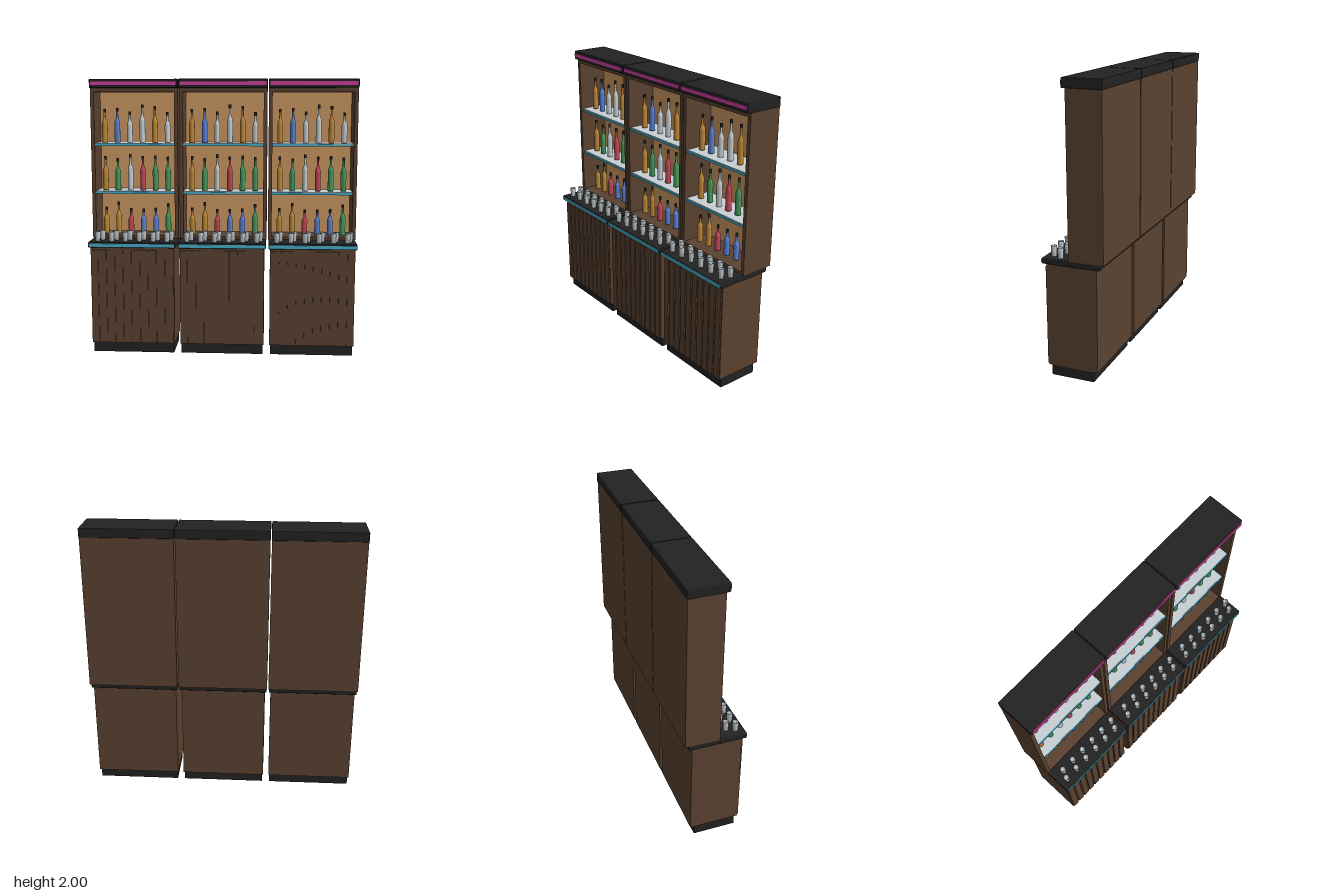
import * as THREE from 'three';
import { RoundedBoxGeometry } from 'three/addons/geometries/RoundedBoxGeometry.js';

const mat = (name, color, side = THREE.FrontSide) => {
  const m = new THREE.MeshStandardMaterial({ color, side });
  m.name = name;
  return m;
};

export function createModel() {
  const M = {
    wood: mat('dark wood', 0x5a4230),
    panel: mat('light back panel', 0xcf9a62),
    black: mat('black', 0x222222),
    pink: mat('pink light strip', 0xd040a0),
    teal: mat('teal light strip', 0x48b0cc),
    glass: mat('clear glass', 0xc8d0d4),
    amber: mat('amber glass', 0xc08a38),
    blue: mat('blue glass', 0x5a82d6),
    red: mat('red glass', 0xc44a58),
    green: mat('green glass', 0x489a5c),
  };
  const add = (parent, name, geo, material, x = 0, y = 0, z = 0) => {
    const mesh = new THREE.Mesh(geo, material);
    mesh.name = name;
    mesh.position.set(x, y, z);
    parent.add(mesh);
    return mesh;
  };
  // Box given by its limits on each axis; a radius rounds the edges
  const box = (parent, name, material, [x0, x1], [y0, y1], [z0, z1], r = 0) => {
    const s = [x1 - x0, y1 - y0, z1 - z0];
    const geo = r ? new RoundedBoxGeometry(...s, 2, r) : new THREE.BoxGeometry(...s);
    return add(parent, name, geo, material, (x0 + x1) / 2, (y0 + y1) / 2, (z0 + z1) / 2);
  };
  const lathe = (points, sides) =>
    new THREE.LatheGeometry(points.map(([r, y]) => new THREE.Vector2(r, y)), sides);

  // Bottle with straight body, sloping shoulder, neck and stopper
  const bottle = (parent, color, h, x, y, z) => {
    const g = new THREE.Group();
    g.name = 'bottle';
    g.position.set(x, y, z);
    const r = 0.021;
    add(g, 'bottleGlass', lathe([
      [0, 0], [r, 0], [r, 0.004], [r, h * 0.56], [r * 0.9, h * 0.62],
      [r * 0.55, h * 0.69], [0.0085, h * 0.74], [0.0075, h - 0.022],
    ], 14), M[color]);
    add(g, 'stopper', new THREE.CylinderGeometry(0.0095, 0.0095, 0.026, 12), M.black, 0, h - 0.013, 0);
    parent.add(g);
  };

  const rows = [
    { y: 0.85, colors: ['amber', 'amber', 'red', 'blue', 'blue', 'green'], heights: [0.2, 0.24, 0.19, 0.19, 0.195, 0.23] },
    { y: 1.18, colors: ['amber', 'green', 'glass', 'red', 'green', 'green'], heights: [0.255, 0.24, 0.27, 0.255, 0.26, 0.25] },
    { y: 1.535, colors: ['amber', 'blue', 'glass', 'glass', 'amber', 'glass'], heights: [0.25, 0.255, 0.23, 0.28, 0.27, 0.225] },
  ];
  // Hollow, slightly flared tumbler
  const tumbler = lathe([[0, 0], [0.017, 0], [0.021, 0.07], [0.018, 0.07], [0.015, 0.01], [0, 0.01]], 12);

  const buildUnit = () => {
    const unit = new THREE.Group();
    unit.name = 'barUnit';

    // Base cabinet with slatted front
    box(unit, 'plinth', M.black, [-0.298, 0.298], [0, 0.075], [-0.135, 0.17]);
    box(unit, 'baseCabinet', M.wood, [-0.305, 0.305], [0.075, 0.79], [-0.165, 0.19]);
    const slats = 10, pitch = 0.061;
    for (let i = 0; i < slats; i++) {
      const x = (i - (slats - 1) / 2) * pitch;
      box(unit, 'slat', M.wood, [x - 0.024, x + 0.024], [0.08, 0.77], [0.19, 0.2]);
    }

    // Counter and its light strip
    box(unit, 'counter', M.black, [-0.317, 0.317], [0.79, 0.83], [-0.19, 0.219], 0.006);
    box(unit, 'counterLight', M.teal, [-0.31, 0.31], [0.796, 0.82], [0.216, 0.225]);

    // Open upper cabinet
    for (const s of [-1, 1]) {
      const x = [0.294 * s, 0.321 * s].sort((a, b) => a - b);
      box(unit, 'sidePanel', M.wood, x, [0.83, 1.935], [-0.22, 0.025]);
    }
    box(unit, 'cabinetBack', M.wood, [-0.294, 0.294], [0.83, 1.935], [-0.22, -0.205]);
    box(unit, 'backPanel', M.panel, [-0.294, 0.294], [0.85, 1.905], [-0.205, -0.198]);
    box(unit, 'cabinetTop', M.wood, [-0.294, 0.294], [1.905, 1.935], [-0.205, 0.025]);
    box(unit, 'cabinetFloor', M.wood, [-0.294, 0.294], [0.83, 0.85], [-0.205, 0.025]);

    // Crown and its light strip
    box(unit, 'crown', M.black, [-0.323, 0.323], [1.935, 2], [-0.225, 0.052], 0.006);
    box(unit, 'crownLight', M.pink, [-0.312, 0.312], [1.955, 1.981], [0.05, 0.058]);

    // Glass shelves with lit front edges
    for (const y of [1.18, 1.535]) {
      box(unit, 'shelf', M.glass, [-0.294, 0.294], [y - 0.018, y], [-0.198, 0.008]);
      box(unit, 'shelfLight', M.teal, [-0.294, 0.294], [y - 0.02, y - 0.004], [0.008, 0.014]);
    }

    // Bottles
    for (const { y, colors, heights } of rows)
      colors.forEach((c, i) => bottle(unit, c, heights[i], -0.237 + i * 0.094, y, -0.075));

    // Two staggered rows of tumblers
    for (let i = 0; i < 6; i++) {
      add(unit, 'tumbler', tumbler, M.glass, -0.257 + i * 0.1015, 0.83, 0.16);
      add(unit, 'tumbler', tumbler, M.glass, -0.232 + i * 0.1015, 0.83, 0.1);
    }
    return unit;
  };

  // Three identical units side by side
  const model = new THREE.Group();
  model.name = 'backBar';
  for (const i of [-1, 0, 1]) {
    const unit = buildUnit();
    unit.position.x = i * 0.652;
    model.add(unit);
  }
  return model;
}
